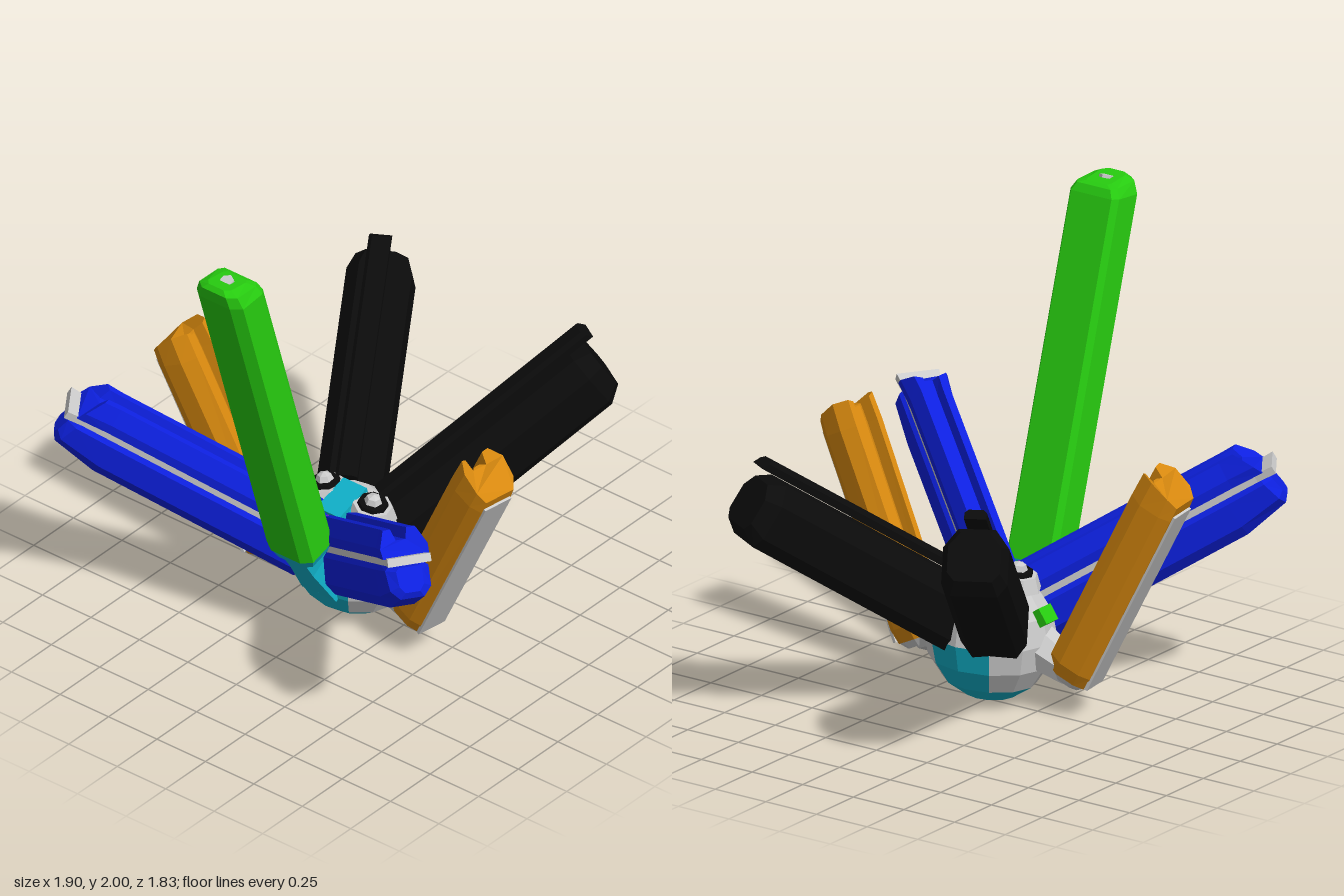
import * as THREE from 'three';

const V2 = (p) => new THREE.Vector2(p[0], p[1]);
const V3 = (x, y, z) => new THREE.Vector3(x, y, z);
const mat = (color) => new THREE.MeshStandardMaterial({ color, flatShading: true });
const M = {
  grey: mat(0xcccccc), green: mat(0x27cc10), blue: mat(0x0d20e0), orange: mat(0xd8890f),
  black: mat(0x0b0b0b), cyan: mat(0x10b0c8), magenta: mat(0xc010c0),
};

// Fills in the mirrored half of a profile (right half listed bottom to top)
const mirrored = (half) => [...half, ...half.slice().reverse().map(([s, u]) => [-s, u])];

// Lofts a closed profile along +z. Station: { t, s, u, c, slant, peak }
// s/u scale the profile about height c; slant and peak tilt or notch the ring.
function loft(profile, stations) {
  const rings = stations.map(({ t, s = 1, u = 1, c = 0, slant = 0, peak = 0 }) =>
    profile.map(([a, b]) => V3(a * s, c + (b - c) * u, t + slant * b + peak * Math.abs(a))));
  const pos = [];
  const tri = (...pts) => pts.forEach((p) => pos.push(p.x, p.y, p.z));
  const n = profile.length;
  for (let r = 0; r + 1 < rings.length; r++) {
    const a = rings[r], b = rings[r + 1];
    for (let i = 0; i < n; i++) {
      const j = (i + 1) % n;
      tri(a[i], a[j], b[j]);
      tri(a[i], b[j], b[i]);
    }
  }
  const first = rings[0], last = rings[rings.length - 1];
  for (const [i, j, k] of THREE.ShapeUtils.triangulateShape(profile.map(V2), [])) {
    tri(first[k], first[j], first[i]);
    tri(last[i], last[j], last[k]);
  }
  const g = new THREE.BufferGeometry();
  g.setAttribute('position', new THREE.Float32BufferAttribute(pos, 3));
  g.computeVertexNormals();
  return g;
}

function part(parent, name, geometry, material, p = [0, 0, 0]) {
  const m = new THREE.Mesh(geometry, material);
  m.name = name;
  m.position.set(...p);
  parent.add(m);
  return m;
}

// Group whose +z runs along dir, with +y as near upright as possible
function limb(parent, name, origin, dir) {
  const d = V3(...dir).normalize();
  const s = V3(0, 1, 0).cross(d).normalize();
  const g = new THREE.Group();
  g.name = name;
  g.quaternion.setFromRotationMatrix(new THREE.Matrix4().makeBasis(s, d.clone().cross(s), d));
  g.position.set(...origin);
  parent.add(g);
  return g;
}

// Faceted ball, divided into a coloured belly and a grey shell
function addBody(root) {
  const src = new THREE.SphereGeometry(1, 12, 8).toNonIndexed();
  src.scale(0.285, 0.28, 0.235).translate(0, 0.28, 0.02);
  const a = src.attributes.position.array;
  const belly = [], shell = [];
  for (let i = 0; i < a.length; i += 9) {
    const x = Math.abs(a[i] + a[i + 3] + a[i + 6]) / 3;
    const y = (a[i + 1] + a[i + 4] + a[i + 7]) / 3;
    const z = (a[i + 2] + a[i + 5] + a[i + 8]) / 3;
    const isBelly = y < 0.1 || (x < 0.13 && (z > 0.08 || y < 0.28));
    (isBelly ? belly : shell).push(...a.slice(i, i + 9));
  }
  for (const [name, list, m] of [['belly', belly, M.cyan], ['shell', shell, M.grey]]) {
    const g = new THREE.BufferGeometry();
    g.setAttribute('position', new THREE.Float32BufferAttribute(list, 3));
    g.computeVertexNormals();
    part(root, name, g, m);
  }
  // Face strip and beak on top
  part(root, 'faceStrip', new THREE.BoxGeometry(0.12, 0.05, 0.18), M.cyan, [0, 0.53, 0.08]).rotation.x = 0.3;
  const beak = part(root, 'beak', new THREE.ConeGeometry(0.04, 0.08, 6), M.magenta, [0, 0.5, 0.19]);
  beak.rotation.x = 0.9;
  // Neck reaching forward to the tall bar
  const neck = limb(root, 'neck', [0, 0.2, 0.17], [0, 0.26, 0.17]);
  part(neck, 'neckWedge', loft(mirrored([[0.08, -0.07], [0.08, 0.07]]),
    [{ t: 0, s: 1.1 }, { t: 0.2, s: 0.75 }, { t: 0.33, s: 0.8 }]), M.cyan);
}

function addEye(root, side) {
  const eye = limb(root, 'eye', [side * 0.12, 0.53, 0.04], [side * 0.15, 1, 0.02]);
  const disc = (name, r0, r1, h, z, m) =>
    part(eye, name, new THREE.CylinderGeometry(r1, r0, h, 8).rotateX(Math.PI / 2), m, [0, 0, z]);
  disc('eyeSocket', 0.105, 0.08, 0.06, -0.01, M.grey);
  disc('eyeRing', 0.065, 0.06, 0.02, 0.025, M.black);
  part(eye, 'eyeBall', new THREE.SphereGeometry(0.04, 6, 4).rotateX(Math.PI / 2), M.grey, [0, 0, 0.03]);
}

// Tall front bar with a bevelled tip
function addFrontBar(root) {
  const bar = limb(root, 'frontBar', [0, 0.45, 0.345], [0, 1.53, 0.464]);
  const profile = mirrored([[0.075, -0.09], [0.12, -0.06], [0.12, 0.06], [0.1, 0.085]]);
  part(bar, 'frontBarBeam', loft(profile, [
    { t: 0.03 }, { t: 1.54, slant: -0.2 }, { t: 1.585, s: 0.82, u: 0.92, slant: -0.3 },
    { t: 1.6, s: 0.5, u: 0.7, slant: -0.3 }]), M.green);
  part(bar, 'frontBarBase', loft(profile, [{ t: -0.02, s: 0.8, u: 0.8 }, { t: 0.03, s: 0.98, u: 0.98 }]), M.cyan);
  part(bar, 'frontBarTipStud', new THREE.CylinderGeometry(0.03, 0.03, 0.012, 6).rotateX(Math.PI / 2), M.grey, [0, 0, 1.6]);
}

// Forward-slanting double blade: deep lower beam, grey strip and grooved rail
function addFrontBlade(root, side) {
  const blade = limb(root, 'frontBlade', [side * 0.075, 0.41, 0.175], [side * 0.71, 0.5, 0.494]);
  part(blade, 'frontBladeBeam', loft(
    mirrored([[0.05, -0.2], [0.085, -0.15], [0.09, -0.04], [0.07, -0.015]]),
    [{ t: -0.03 }, { t: 0.9 }, { t: 1.06, u: 0.75, c: -0.03, slant: -0.2 },
      { t: 1.1, s: 0.6, u: 0.55, c: -0.05, slant: -0.1 }]), M.blue);
  part(blade, 'frontBladeStrip', loft(mirrored([[0.078, -0.02], [0.078, 0.014]]),
    [{ t: 0 }, { t: 1.05 }, { t: 1.11, s: 1.15, peak: 0.3 }]), M.grey);
  part(blade, 'frontBladeRail', loft(
    mirrored([[0.085, 0.01], [0.088, 0.05], [0.06, 0.12], [0.03, 0.12], [0.018, 0.075]]),
    [{ t: 0 }, { t: 0.95 }, { t: 1.06, s: 1.12, slant: -0.5, peak: 0.4 }]), M.blue);
}

// Steep side arm with a grooved inner face and notched tip
function addSideArm(root, side) {
  const arm = limb(root, 'sideArm', [side * 0.37, 0.165, 0.075], [side * 0.441, 0.895, 0.066]);
  const profile = mirrored([[0.075, -0.095], [0.1, -0.05], [0.105, 0.04], [0.07, 0.1],
    [0.045, 0.1], [0.035, 0.05], [0.015, 0.065]]);
  part(arm, 'sideArmBeam', loft(profile, [
    { t: 0, s: 0.8, u: 0.9 }, { t: 0.06, s: 0.95 }, { t: 0.88, s: 1.04 },
    { t: 0.93, s: 0.98, u: 0.98, slant: 0.25, peak: 0.5 }]), M.orange);
  part(arm, 'sideArmBacking', loft(mirrored([[0.07, -0.105], [0.07, -0.09]]),
    [{ t: 0.01 }, { t: 0.9 }]), M.grey);
  part(arm, 'sideArmFoot', loft(profile, [{ t: -0.03, s: 0.6, u: 0.6 }, { t: 0.004, s: 0.8, u: 0.9 }]), M.grey);
  // Hip joining the arm to the body
  const hip = limb(root, 'hip', [side * 0.17, 0.28, 0.04], [side * 0.2, -0.11, 0.035]);
  part(hip, 'hipBlock', new THREE.CylinderGeometry(0.07, 0.11, 0.25, 7).rotateX(Math.PI / 2), M.grey, [0, 0, 0.1]);
  part(root, 'sidePatch', new THREE.BoxGeometry(0.04, 0.07, 0.08), M.green, [side * 0.265, 0.4, 0.03])
    .rotation.z = side * 0.6;
}

// Thick rear beam with a slim rail floating just above it
function addRearBeam(root, side) {
  const rear = limb(root, 'rearBeam', [side * 0.134, 0.58, -0.13], [side * 0.419, 0.556, -0.716]);
  part(rear, 'rearBeamBody', loft(
    mirrored([[0.095, -0.29], [0.133, -0.24], [0.133, -0.09], [0.075, -0.012]]),
    [{ t: -0.2, s: 0.9 }, { t: -0.1 }, { t: 0.84 }, { t: 0.91, s: 0.8, u: 0.72, c: -0.13 }]), M.black);
  part(rear, 'rearBeamRail', loft(mirrored([[0.045, 0], [0.045, 0.03], [0.03, 0.045]]),
    [{ t: -0.1 }, { t: 0.96, slant: -0.6 }]), M.black);
}

export function createModel() {
  const root = new THREE.Group();
  root.name = 'model';
  addBody(root);
  addFrontBar(root);
  for (const side of [1, -1]) {
    addEye(root, side);
    addFrontBlade(root, side);
    addSideArm(root, side);
    addRearBeam(root, side);
  }
  return root;
}
